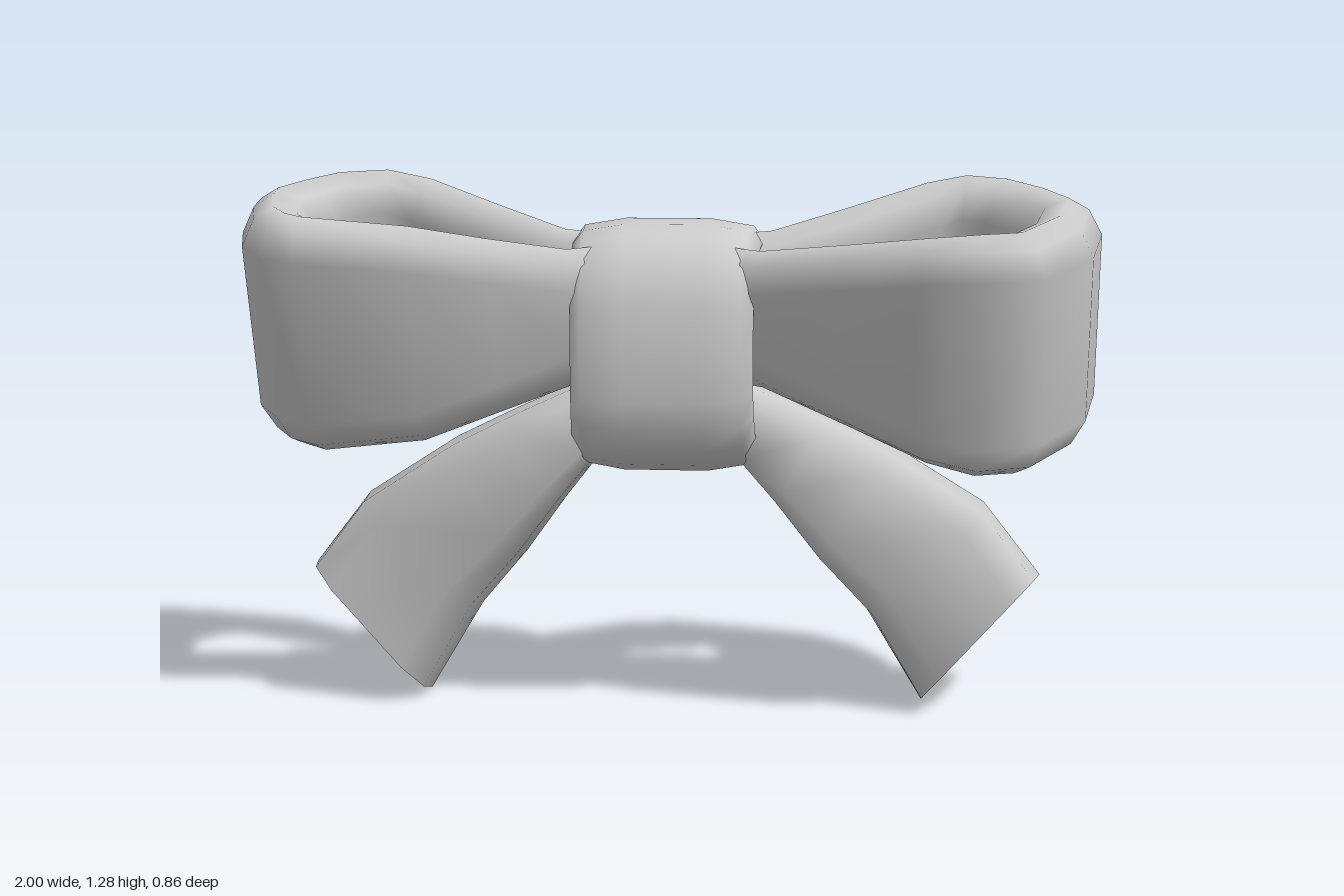
import * as THREE from 'three';

// Skin a list of equal-length rings into a closed solid: smooth sides, flat end caps.
function loft(rings) {
  const n = rings[0].length;
  const pts = rings.flat();
  const idx = [];
  for (let i = 0; i < rings.length - 1; i++) {
    for (let j = 0; j < n; j++) {
      const a = i * n + j, b = i * n + (j + 1) % n;
      idx.push(a, b, b + n, a, b + n, a + n);
    }
  }
  // caps use their own copies of the end rings so their rims stay sharp
  [rings[0].slice().reverse(), rings[rings.length - 1]].forEach((ring) => {
    const start = pts.length;
    const centre = new THREE.Vector3();
    ring.forEach((p) => centre.addScaledVector(p, 1 / n));
    pts.push(...ring, centre);
    for (let j = 0; j < n; j++) idx.push(start + n, start + j, start + (j + 1) % n);
  });
  // a negative signed volume means the winding is inside out
  let volume = 0;
  const cross = new THREE.Vector3();
  for (let k = 0; k < idx.length; k += 3) {
    volume += pts[idx[k]].dot(cross.crossVectors(pts[idx[k + 1]], pts[idx[k + 2]]));
  }
  if (volume < 0) idx.reverse();
  const geo = new THREE.BufferGeometry().setFromPoints(pts);
  geo.setIndex(idx);
  geo.computeVertexNormals();
  return geo;
}

// Ribbon loop: outer path of [x, depth] from the front of the knot round to the back.
function loopGeometry(path, side) {
  // rounded band section: [share of thickness, height]
  const section = (h) => {
    const half = [[0, h - 0.095], [0.18, h - 0.03], [0.45, h], [0.75, h - 0.025], [1, h - 0.09]];
    return [...half, ...half.map(([t, v]) => [t, -v]).reverse()];
  };
  const rings = path.map(([x, w], i) => {
    const p = path[Math.max(i - 1, 0)], q = path[Math.min(i + 1, path.length - 1)];
    const tan = new THREE.Vector2(q[0] - p[0], q[1] - p[1]).normalize();
    const spread = THREE.MathUtils.clamp((x - 0.2) / 0.45, 0, 1);
    const h = 0.175 + 0.127 * spread;
    const thick = 0.125 + 0.055 * spread;
    const baseY = 0.985 - 0.028 * spread;
    return section(h).map(([t, v]) => {
      const px = x + tan.y * t * thick, d = w - tan.x * t * thick;
      // the band leans forward at the top and the front sits slightly lower
      return new THREE.Vector3(side * px, baseY - 0.17 * d + 0.94 * v, d + 0.34 * v);
    });
  });
  return loft(rings);
}

// Tail: stations of [upper x, upper y, lower x, lower y, z centre, half depth, slant of the cut].
function tailGeometry(side) {
  const stations = [
    [0.08, 0.86, 0.05, 0.72, 0.0, 0.09, 0],
    [0.25, 0.79, 0.18, 0.61, 0.0, 0.13, 0],
    [0.37, 0.735, 0.25, 0.52, -0.02, 0.135, 0],
    [0.52, 0.66, 0.35, 0.38, -0.05, 0.145, 0],
    [0.75, 0.51, 0.47, 0.235, -0.105, 0.148, 0],
    [0.90, 0.32, 0.615, 0.0, -0.115, 0.145, 0.017],
  ];
  const section = [
    [0.62, 1], [0.93, 0.5], [0.97, -0.25], [0.85, -1],
    [-0.82, -1], [-1, -0.25], [-0.9, 0.5], [-0.55, 1],
  ];
  return loft(stations.map(([ux, uy, lx, ly, z, hd, cut]) => section.map(([a, b]) => {
    const k = (a + 1) / 2, shift = cut * (b + 1);
    return new THREE.Vector3(side * (lx + (ux - lx) * k - shift), ly + (uy - ly) * k + shift, z + b * hd);
  })));
}

// Knot: rounded band wrapped round the middle, narrower towards the back.
function knotGeometry() {
  const profile = [[-0.21, 0.7], [-0.225, 0.83], [-0.198, 0.945], [-0.1, 1],
    [0.1, 1], [0.198, 0.945], [0.225, 0.83], [0.21, 0.7]];
  const bend = (c) => Math.sign(c) * Math.pow(Math.abs(c), 0.75);
  return loft(profile.map(([x, s]) => Array.from({ length: 24 }, (_, j) => {
    const a = (j / 24) * Math.PI * 2;
    const y = 0.295 * s * bend(Math.sin(a));
    const z = 0.25 * s * bend(Math.cos(a));
    const narrow = 1 - (z < 0 ? -0.28 : 0.08) * z / 0.25;
    return new THREE.Vector3(x * narrow, 0.895 + y, z - 0.02);
  })));
}

export function createModel() {
  const bow = new THREE.Group();
  bow.name = 'bow';
  const material = new THREE.MeshStandardMaterial({ color: 0xcccccc });
  const add = (name, geometry) => {
    const mesh = new THREE.Mesh(geometry, material);
    mesh.name = name;
    bow.add(mesh);
  };

  // the two loops differ a little in depth
  add('leftLoop', loopGeometry([
    [0.05, 0.09], [0.2, 0.155], [0.4, 0.25], [0.58, 0.335], [0.72, 0.362], [0.86, 0.32], [0.97, 0.14],
    [1, -0.06], [0.93, -0.19], [0.83, -0.295], [0.7, -0.34], [0.57, -0.32], [0.38, -0.21], [0.22, -0.115], [0.05, -0.07],
  ], 1));
  add('rightLoop', loopGeometry([
    [0.05, 0.09], [0.2, 0.155], [0.38, 0.21], [0.56, 0.255], [0.82, 0.255], [0.91, 0.2], [0.97, 0.11],
    [1, -0.02], [1, -0.12], [0.94, -0.22], [0.85, -0.32], [0.7, -0.36], [0.56, -0.335], [0.38, -0.22], [0.22, -0.115], [0.05, -0.07],
  ], -1));

  add('leftTail', tailGeometry(1));
  add('rightTail', tailGeometry(-1));
  add('knot', knotGeometry());
  return bow;
}
